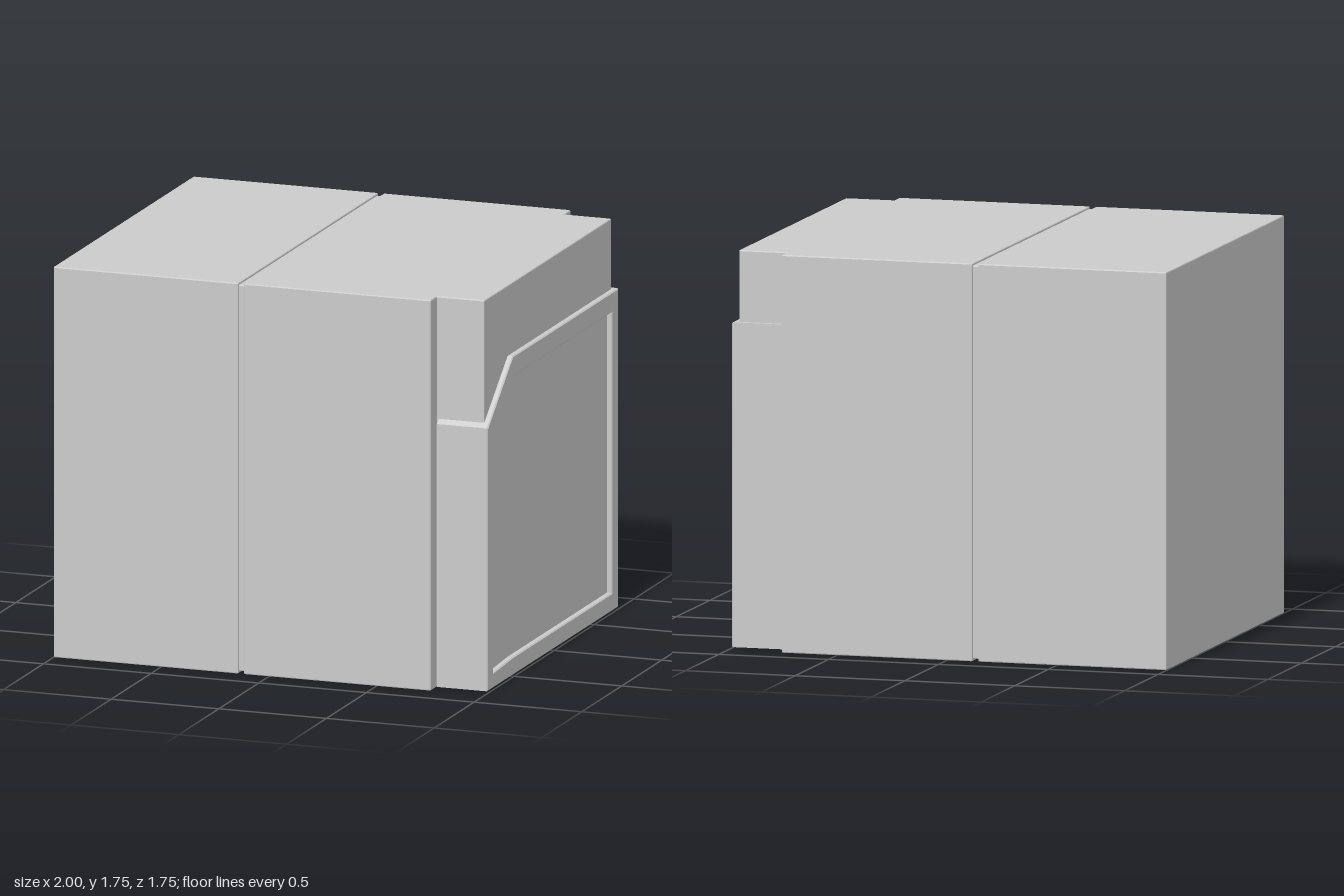
import * as THREE from 'three';
import { RoundedBoxGeometry } from 'three/addons/geometries/RoundedBoxGeometry.js';

const BEVEL = 0.005;

export function createModel() {
  const group = new THREE.Group();
  const material = new THREE.MeshStandardMaterial({ color: 0xcccccc, flatShading: true });

  const add = (name, geometry) => {
    const mesh = new THREE.Mesh(geometry, material);
    mesh.name = name;
    group.add(mesh);
    return mesh;
  };

  // Block given by its extents [min, max] on each axis, with tiny chamfered edges
  const block = (name, [x0, x1], [y0, y1], [z0, z1]) =>
    add(name, new RoundedBoxGeometry(x1 - x0, y1 - y0, z1 - z0, 1, BEVEL))
      .position.set((x0 + x1) / 2, (y0 + y1) / 2, (z0 + z1) / 2);

  // Two large blocks, with a slightly recessed core filling the seam between them
  block('rightBlock', [-1, -0.142], [0, 1.752], [-0.876, 0.876]);
  block('leftBlock', [-0.116, 0.752], [0, 1.752], [-0.876, 0.876]);
  block('seamCore', [-0.2, -0.05], [0.01, 1.742], [-0.866, 0.866]);

  // Narrower side block; its outer face is the floor of the framed panel
  block('sideBlock', [0.745, 0.972], [0.008, 1.752], [-0.792, 0.797]);

  // Cover wrapped around the side block, with a cut front corner and a panel opening
  const outline = [[0.82, 0.006], [-0.816, 0.006], [-0.816, 1.436], [0.505, 1.436], [0.82, 1.185]];
  const opening = [[0.751, 0.074], [0.505, 0.087], [-0.737, 0.087], [-0.737, 1.345], [0.505, 1.345], [0.751, 1.158]];
  const toPoints = (list) => list.map(([z, y]) => new THREE.Vector2(-z, y));

  const shape = new THREE.Shape(toPoints(outline));
  shape.holes.push(new THREE.Path(toPoints(opening)));
  const start = 0.757, end = 0.997;
  const cover = new THREE.ExtrudeGeometry(shape, {
    depth: end - start - 2 * BEVEL,
    bevelEnabled: true, bevelThickness: BEVEL, bevelSize: BEVEL, bevelOffset: -BEVEL, bevelSegments: 1,
  });
  cover.rotateY(Math.PI / 2);
  cover.translate(start + BEVEL, 0, 0);
  add('sideCover', cover);

  return group;
}
